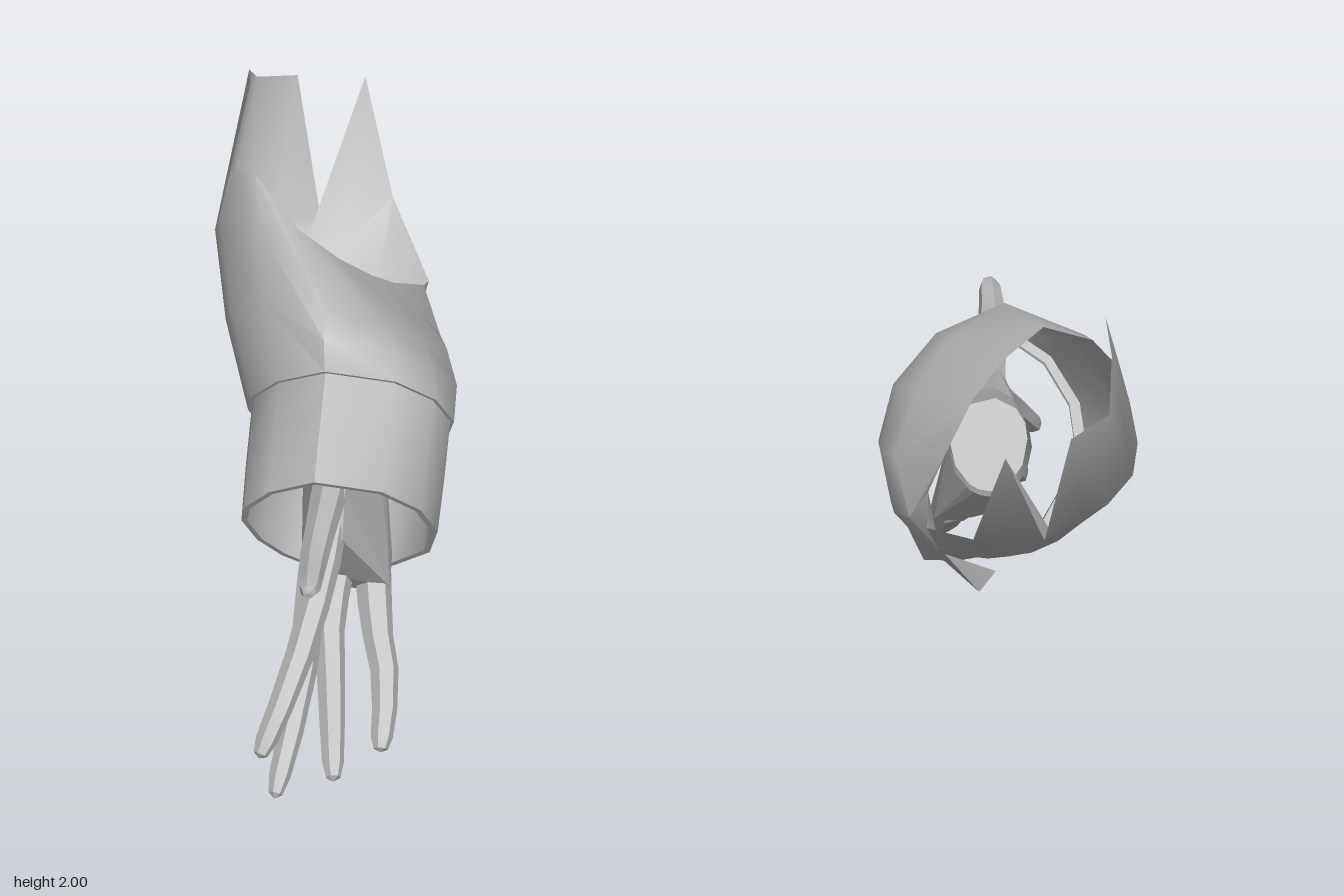
import * as THREE from 'three';
import { toCreasedNormals } from 'three/addons/utils/BufferGeometryUtils.js';
import { ConvexGeometry } from 'three/addons/geometries/ConvexGeometry.js';

const V = (x, y, z) => new THREE.Vector3(x, y, z);
const UP = V(0.375, 0.85, 0.375);      // across the cuff, upwards
const SIDE = V(0.707, 0, -0.707);      // across the cuff, sideways
const ANGLES = [-8, 30, 60, 90, 120, 150, 165, 180, 190, 200, 215, 240, 270, 290, 320];

// Skin between closed rings that have the same number of points
function loft(rings, crease) {
  const n = rings[0].length, index = [];
  for (let r = 0; r < rings.length - 1; r++) {
    for (let i = 0; i < n; i++) {
      const a = r * n + i, b = r * n + (i + 1) % n;
      index.push(a, b, a + n, b, b + n, a + n);
    }
  }
  const geometry = new THREE.BufferGeometry().setFromPoints(rings.flat());
  geometry.setIndex(index);
  return toCreasedNormals(geometry, crease);
}

// Elliptical ring lying across the cuff axis
function ring(center, ru, rs, scale = () => 1) {
  return ANGLES.map((deg) => {
    const t = THREE.MathUtils.degToRad(deg), k = scale(deg);
    return center.clone().addScaledVector(UP, Math.cos(t) * ru * k).addScaledVector(SIDE, Math.sin(t) * rs * k);
  });
}

// The cloth is flattened on its outer front side and slightly at the back
const FLAT = { 30: 0.98, 60: 0.96, 90: 0.97, 215: 0.94, 240: 0.87, 270: 0.88, 290: 0.89, 320: 0.91 };
const flat = (deg) => FLAT[deg] ?? 1;

// Tapered six-sided finger with a rounded tip
function finger(path, radius) {
  const curve = new THREE.CatmullRomCurve3(path);
  const rings = [];
  const stops = [[0, 1.12], [0.2, 1.06], [0.4, 0.94], [0.6, 0.88], [0.8, 0.78], [0.93, 0.68], [0.985, 0.45], [1, 0.02]];
  for (const [t, k] of stops) {
    const p = curve.getPoint(t), d = curve.getTangent(t);
    const a = V(0.78, 0.25, -0.57).cross(d).normalize(), b = d.clone().cross(a);
    rings.push(Array.from({ length: 6 }, (_, i) => p.clone()
      .addScaledVector(a, Math.cos(i * Math.PI / 3) * radius * k)
      .addScaledVector(b, Math.sin(i * Math.PI / 3) * radius * k)));
  }
  return loft(rings, 0.6);
}

export function createModel() {
  const group = new THREE.Group();
  const grey = new THREE.MeshStandardMaterial({ color: 0xb8b8b8, side: THREE.DoubleSide });
  grey.name = 'grey';
  const add = (name, geometry) => {
    const mesh = new THREE.Mesh(geometry, grey);
    mesh.name = name;
    group.add(mesh);
  };

  // Sleeve: lip, elbow ring and torn upper edge
  const lip = V(0.14, 0.98, -0.1);
  const elbow = [
    V(0.16, 1.54, 0.02), V(0.25, 1.44, -0.2), V(0.25, 1.28, -0.38), V(0.18, 1.1, -0.57), V(-0.03, 0.98, -0.71),
    V(-0.2, 0.91, -0.72), V(-0.42, 1.04, -0.73), V(-0.58, 1.1, -0.66), V(-0.68, 1.13, -0.59), V(-0.76, 1.2, -0.5),
    V(-0.79, 1.23, -0.4), V(-0.77, 1.28, -0.24), V(-0.71, 1.36, -0.15), V(-0.63, 1.49, -0.11), V(-0.33, 1.64, -0.05),
  ];
  const edge = [
    V(-0.2, 1.66, -0.14), V(-0.1, 1.52, -0.26), V(-0.07, 1.39, -0.4), V(-0.09, 1.28, -0.53), V(-0.14, 1.15, -0.72),
    V(-0.23, 1.07, -0.82), V(-0.58, 1.22, -0.93), V(-0.77, 1.68, -0.95), V(-0.73, 1.17, -0.69), V(-0.9, 1.72, -0.72),
    V(-0.94, 1.77, -0.55), V(-0.83, 1.93, -0.42), V(-0.69, 2, -0.31), V(-0.64, 1.67, -0.17), V(-0.49, 1.74, -0.17),
  ];
  const front = ring(lip, 0.455, 0.43, flat);
  const between = front.map((p, i) => p.clone().lerp(elbow[i], 0.5).addScaledVector(p.clone().sub(lip), 0.06));
  add('sleeve', loft([ring(lip, 0.42, 0.39, flat), front, between, elbow, edge], 0.9));

  // Loose fold of cloth hanging under the sleeve
  const fold = new THREE.BufferGeometry().setFromPoints(
    [V(-0.43, 0.83, -0.74), V(-0.1, 0.58, -0.3), V(0.1, 0.66, -0.45), V(-0.2, 0.92, -0.72)]);
  fold.setIndex([0, 1, 2, 0, 2, 3]);
  fold.computeVertexNormals();
  add('underFold', fold);

  // Cuff: outer wall, rim and inner wall
  const mouth = V(0.41, 0.74, 0.18);
  const middle = V(0.275, 0.86, 0.04);
  const bulge = (deg) => (deg === 150 ? 1.19 : deg === 165 ? 1.08 : flat(deg));
  add('cuff', loft([
    ring(lip, 0.44, 0.415, flat), ring(middle, 0.445, 0.415, bulge), ring(mouth, 0.45, 0.41, flat),
    ring(mouth, 0.425, 0.385, flat), ring(lip, 0.41, 0.38, flat),
  ], 0.8));

  // Fingers, each from knuckle to tip
  const digits = {
    indexFinger: [V(0.5, 0.86, 0.28), V(0.65, 0.71, 0.46), V(0.79, 0.5, 0.7), V(0.87, 0.25, 0.94)],
    middleFinger: [V(0.41, 0.69, 0.25), V(0.54, 0.54, 0.41), V(0.71, 0.34, 0.6), V(0.89, 0.04, 0.88)],
    ringFinger: [V(0.4, 0.54, 0.16), V(0.5, 0.4, 0.28), V(0.68, 0.22, 0.42), V(0.92, 0.01, 0.61)],
    littleFinger: [V(0.46, 0.48, 0.03), V(0.59, 0.33, 0.12), V(0.74, 0.19, 0.2), V(0.89, 0.01, 0.35)],
    thumb: [V(0.42, 0.98, 0.2), V(0.6, 0.97, 0.4), V(0.77, 0.95, 0.59), V(0.93, 0.98, 0.74)],
  };
  for (const [name, path] of Object.entries(digits)) add(name, finger(path, 0.063));

  // Palm: faceted hull from the knuckles back to the wrist
  const normal = V(0.78, 0.25, -0.57);
  const wrist = V(0.14, 0.98, -0.09);
  const hull = ring(wrist, 0.2, 0.15);
  for (const path of Object.values(digits)) {
    const knuckle = path[0].clone().lerp(path[1], 0.3);
    for (const side of [-0.065, 0.065]) hull.push(knuckle.clone().addScaledVector(normal, side));
  }
  hull.push(V(0.38, 1.05, 0.22), V(0.24, 0.76, 0.2), V(0.3, 0.54, 0.1), V(0.43, 0.49, -0.09), V(0.36, 0.47, 0));
  add('palm', new ConvexGeometry(hull));

  // Wrist running back into the sleeve
  add('wrist', loft([ring(wrist, 0.2, 0.15), ring(V(-0.07, 1.13, -0.3), 0.19, 0.16)], 0.6));

  return group;
}
